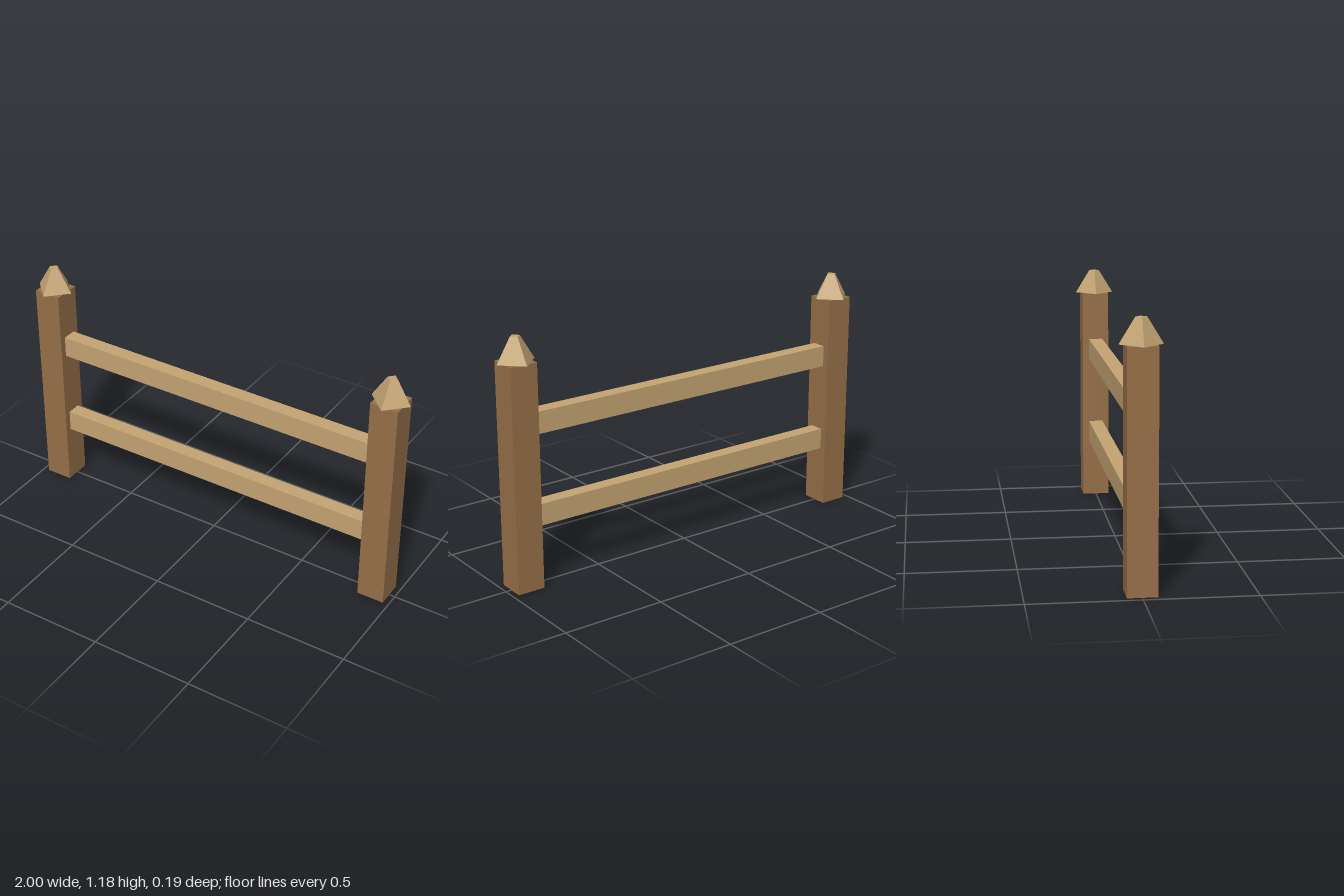
import * as THREE from 'three';

export function createModel() {
  const model = new THREE.Group();
  model.name = 'fence';

  const darkWood = new THREE.MeshStandardMaterial({ color: 0x966f48 });
  darkWood.name = 'dark wood';
  const lightWood = new THREE.MeshStandardMaterial({ color: 0xc4a473 });
  lightWood.name = 'light wood';

  const postX = 0.905, postWidth = 0.134, postHeight = 1.07, capHeight = 0.115;

  const add = (parent, name, geometry, material, x, y) => {
    const mesh = new THREE.Mesh(geometry, material);
    mesh.name = name;
    mesh.position.set(x, y, 0);
    parent.add(mesh);
  };

  // Square posts, each with a four-sided cap turned corner-forward
  const postGeometry = new THREE.BoxGeometry(postWidth, postHeight, postWidth);
  const capGeometry = new THREE.CylinderGeometry(0.025, 0.095, capHeight, 4).toNonIndexed();
  capGeometry.computeVertexNormals();
  for (const [side, sign] of [['left', 1], ['right', -1]]) {
    const group = new THREE.Group();
    group.name = side + 'PostAssembly';
    add(group, side + 'Post', postGeometry, darkWood, sign * postX, postHeight / 2);
    add(group, side + 'Cap', capGeometry, lightWood, sign * postX, postHeight + capHeight / 2);
    model.add(group);
  }

  // Two rails let into the posts, stopping just short of their outer faces
  const railGeometry = new THREE.BoxGeometry(1.93, 0.104, 0.07);
  add(model, 'upperRail', railGeometry, lightWood, 0, 0.78);
  add(model, 'lowerRail', railGeometry, lightWood, 0, 0.343);

  return model;
}
